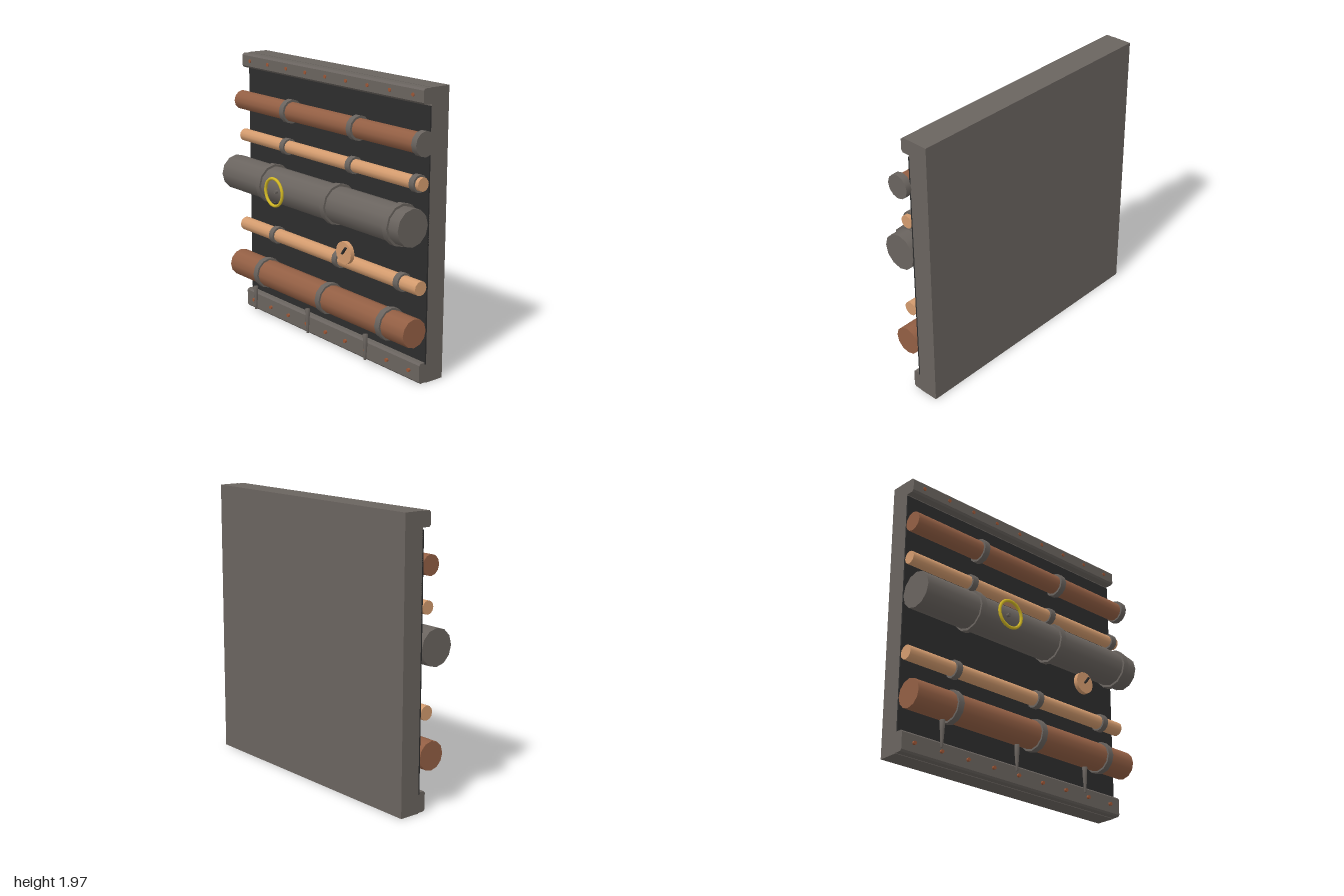
import * as THREE from 'three';

const X0 = -1, X1 = 0.96, LEN = X1 - X0, MID = (X0 + X1) / 2;

function makeMaterial(name, color) {
  const m = new THREE.MeshStandardMaterial({ color });
  m.name = name;
  return m;
}

export function createModel() {
  const root = new THREE.Group();
  root.name = 'pipeWall';
  const iron = makeMaterial('iron grey', 0x6a645f);
  const dark = makeMaterial('dark panel', 0x2d2d2d);
  const rust = makeMaterial('rusty brown', 0x935f44);
  const copper = makeMaterial('copper', 0xd39b6e);
  const yellow = makeMaterial('valve yellow', 0xd2b824);
  const rivetMat = makeMaterial('rivet orange', 0x9c5636);

  function add(name, geometry, material, x = 0, y = 0, z = 0, parent = root) {
    const mesh = new THREE.Mesh(geometry, material);
    mesh.name = name;
    mesh.position.set(x, y, z);
    parent.add(mesh);
    return mesh;
  }
  const rodX = (r, length) => new THREE.CylinderGeometry(r, r, length, 12).rotateZ(Math.PI / 2);
  const rodZ = (r, length, sides) => new THREE.CylinderGeometry(r, r, length, sides).rotateX(Math.PI / 2);

  // Backing wall and the dark panel between the beams
  add('wall', new THREE.BoxGeometry(LEN, 1.968, 0.147), iron, MID, 0.984, -0.1515);
  add('panel', new THREE.BoxGeometry(LEN, 1.72, 0.012), dark, MID, 0.99, -0.074);

  // Beams with chamfered front edges, profile in z and y, swept along x
  function beam(name, y0, y1, front, c) {
    const s = new THREE.Shape([
      [-0.1, y0], [front - c, y0], [front, y0 + c], [front, y1 - c], [front - c, y1], [-0.1, y1],
    ].map(([z, y]) => new THREE.Vector2(z, y)));
    const g = new THREE.ExtrudeGeometry(s, { depth: LEN, bevelEnabled: false });
    g.rotateY(-Math.PI / 2).translate(X1, 0, 0);
    add(name, g, iron);
  }
  beam('topBeam', 1.863, 1.966, -0.01, 0.013);
  beam('bottomBeam', 0.004, 0.144, -0.02, 0.012);

  // Rivets along both beams
  const rivets = new THREE.Group();
  rivets.name = 'rivets';
  root.add(rivets);
  const rivetGeo = rodZ(0.013, 0.02, 8);
  for (let i = 0; i < 9; i++) {
    const x = -0.905 + i * 0.221;
    add('bottomRivet', rivetGeo, rivetMat, x, 0.076, -0.014, rivets);
    add('topRivet', rivetGeo, rivetMat, x, 1.916, -0.014, rivets);
  }

  // Horizontal pipes with their clamps
  const pipes = [
    { name: 'upperRustPipe', mat: rust, y: 1.622, z: -0.003, r: 0.07, cr: 0.086, at: [-0.405, 0.335] },
    { name: 'upperCopperPipe', mat: copper, y: 1.355, z: -0.022, r: 0.046, cr: 0.06, at: [-0.468, 0.27, 0.908] },
    { name: 'mainPipe', mat: iron, y: 1.085, z: 0.06, r: 0.128, cr: 0.144, at: [-0.532, 0.206, 0.846] },
    { name: 'lowerCopperPipe', mat: copper, y: 0.667, z: -0.018, r: 0.05, cr: 0.064, at: [-0.596, 0.141, 0.78] },
    { name: 'lowerRustPipe', mat: rust, y: 0.37, z: 0.03, r: 0.1, cr: 0.114, at: [-0.66, 0.077, 0.716] },
  ];
  for (const p of pipes) {
    const group = new THREE.Group();
    group.name = p.name;
    group.position.set(0, p.y, p.z);
    root.add(group);
    add('pipe', rodX(p.r, LEN), p.mat, MID, 0, 0, group);
    for (const x of p.at) add('clamp', rodX(p.cr, 0.046), iron, x, 0, 0, group);
  }
  add('pipeCap', rodX(0.084, 0.046), iron, 0.977, 1.625, 0);

  // Valve wheel on its stem
  add('valveWheel', new THREE.TorusGeometry(0.098, 0.011, 8, 24), yellow, -0.314, 1.085, 0.216);
  add('valveStem', rodZ(0.012, 0.06, 8), iron, -0.314, 1.085, 0.181);

  // Pressure gauge and needle
  add('gauge', rodZ(0.078, 0.031, 16), copper, 0.422, 0.815, 0.17);
  const needle = add('gaugeNeedle', new THREE.BoxGeometry(0.012, 0.06, 0.016), dark, 0.436, 0.835, 0.193);
  needle.rotation.z = -0.65;

  // Hanging drips
  const dripGeo = new THREE.LatheGeometry([
    [0, 0], [0.009, 0], [0.011, 0.05], [0.015, 0.11], [0.018, 0.182], [0, 0.182],
  ].map(([r, y]) => new THREE.Vector2(r, y)), 8);
  for (const x of [-0.757, -0.119, 0.52]) add('drip', dripGeo, iron, x, 0.062, 0.072);

  return root;
}
